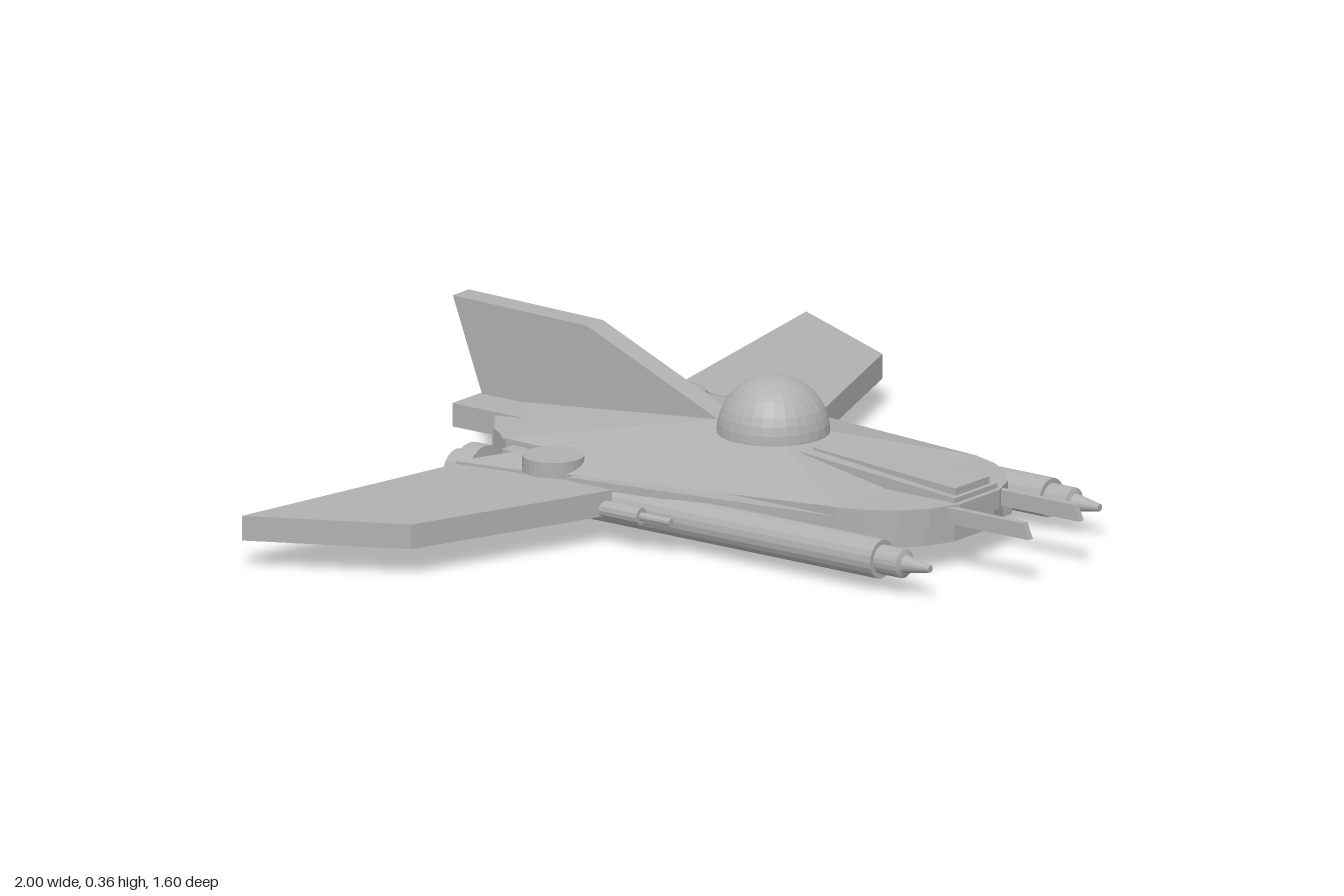
import * as THREE from 'three';

const grey = new THREE.MeshStandardMaterial({ color: 0xb0b0b0, side: THREE.DoubleSide, flatShading: true });
grey.name = 'hull grey';

function add(parent, name, geometry, x = 0, y = 0, z = 0) {
  const mesh = new THREE.Mesh(geometry, grey);
  mesh.name = name;
  mesh.position.set(x, y, z);
  parent.add(mesh);
  return mesh;
}

// Horizontal slab from an outline of [x, z] points, between two heights
function slab(points, y0, y1) {
  const shape = new THREE.Shape(points.map(([x, z]) => new THREE.Vector2(x, -z)));
  return new THREE.ExtrudeGeometry(shape, { depth: y1 - y0, bevelEnabled: false })
    .rotateX(-Math.PI / 2).translate(0, y0, 0);
}

// Upright plate from a side profile of [z, y] points, centred across its width
function plate(points, width) {
  const shape = new THREE.Shape(points.map(([z, y]) => new THREE.Vector2(-z, y)));
  return new THREE.ExtrudeGeometry(shape, { depth: width, bevelEnabled: false })
    .translate(0, 0, -width / 2).rotateY(Math.PI / 2);
}

const mirrored = (half) => [...half, ...half.map(([x, z]) => [-x, z]).reverse()];

// Turned part along z from [radius, z] points
const turned = (points, sides = 20) =>
  new THREE.LatheGeometry(points.map(([r, z]) => new THREE.Vector2(r, z)), sides).rotateX(Math.PI / 2);

// Sloping half of the upper deck, from rim points up to the ridge
function deckHalf() {
  const p = {
    n: [0, 0.147, 0.595], a: [0.07, 0.147, 0.595], b: [0.19, 0.147, 0.52], c: [0.25, 0.147, 0.4],
    d: [0.4, 0.126, -0.51], e: [0.255, 0.145, -0.39], f: [0.25, 0.145, -0.5], g: [0.13, 0.147, -0.61],
    h: [0, 0.155, -0.64], F: [0.07, 0.147, 0.4], F0: [0, 0.147, 0.4],
    A: [0.075, 0.197, 0.12], A0: [0, 0.197, 0.12], B: [0.03, 0.207, -0.09], B0: [0, 0.207, -0.09],
  };
  const faces = ['n a F', 'n F F0', 'a b F', 'b c F', 'F c A', 'F A A0', 'F F0 A0', 'A c d', 'A d B',
    'A B B0', 'A A0 B0', 'B d e', 'B e f', 'B f g', 'B g h', 'B h B0'];
  const positions = [];
  for (const face of faces) {
    const [u, v, w] = face.split(' ').map((k) => new THREE.Vector3(...p[k]));
    const up = v.clone().sub(u).cross(w.clone().sub(u)).y > 0;
    for (const q of up ? [u, v, w] : [u, w, v]) positions.push(q.x, q.y, q.z);
  }
  const geometry = new THREE.BufferGeometry();
  geometry.setAttribute('position', new THREE.Float32BufferAttribute(positions, 3));
  geometry.computeVertexNormals();
  return geometry;
}

function buildSide() {
  const side = new THREE.Group();
  add(side, 'deckSlope', deckHalf());
  add(side, 'shoulder', slab([[0.24, 0.4], [0.25, 0.4], [0.4, -0.51], [0.255, -0.39], [0.24, -0.39]], 0.108, 0.126));
  add(side, 'wing', slab([[0.36, -0.12], [0.39, -0.13], [0.835, -0.3], [1, -0.63], [0.4, -0.51], [0.36, -0.45]], 0.065, 0.12));

  // Engine pod with stepped nose and rear collar
  add(side, 'enginePod', turned([[0, -0.585], [0.048, -0.585], [0.048, -0.55], [0.068, -0.55], [0.068, -0.507],
    [0.043, -0.507], [0.043, 0.56], [0.032, 0.56], [0.032, 0.62], [0.02, 0.625], [0.008, 0.69], [0, 0.69]]), 0.3, 0.07, 0);
  add(side, 'underRail', new THREE.BoxGeometry(0.1, 0.035, 0.8), 0.215, 0.046, 0.08);

  // Small gun at the wing root
  add(side, 'wingGun', turned([[0, -0.14], [0.019, -0.14], [0.019, 0.03 - 0.06], [0.009, -0.03], [0.009, 0.05], [0, 0.05]], 12), 0.375, 0.08, 0);

  add(side, 'shoulderDisc', new THREE.CylinderGeometry(0.067, 0.067, 0.034, 28), 0.325, 0.142, -0.305);
  add(side, 'rearFairing', slab([[0.25, -0.36], [0.3, -0.4], [0.29, -0.47], [0.25, -0.47]], 0.08, 0.135));

  // Long nose cannon
  add(side, 'noseCannon', plate([[0.3, 0.107], [0.8, 0.107], [0.785, 0.142], [0.3, 0.142]], 0.016), 0.09, 0, 0);
  return side;
}

export function createModel() {
  const model = new THREE.Group();
  model.name = 'starfighter';

  const hull = [[0.07, 0.595], [0.14, 0.565], [0.19, 0.52], [0.23, 0.46], [0.25, 0.4], [0.255, -0.39],
    [0.25, -0.49], [0.2, -0.56], [0.13, -0.61]];
  add(model, 'upperHull', slab(mirrored(hull), 0.105, 0.146));
  add(model, 'lowerHull', slab(mirrored(hull.map(([x, z]) => [x, z * 0.975])), 0.06, 0.106));
  add(model, 'tailBlock', new THREE.BoxGeometry(0.25, 0.052, 0.18), 0, 0.129, -0.638);
  add(model, 'tailKeel', new THREE.BoxGeometry(0.2, 0.055, 0.1), 0, 0.092, -0.59);

  const left = buildSide();
  left.name = 'leftSide';
  const right = buildSide();
  right.name = 'rightSide';
  right.scale.x = -1;
  model.add(left, right);

  // Dome and fin
  add(model, 'dome', new THREE.SphereGeometry(0.122, 28, 10, 0, Math.PI * 2, 0, Math.PI / 2), 0, 0.199, 0.04);
  add(model, 'domeBase', new THREE.CylinderGeometry(0.122, 0.122, 0.004, 28), 0, 0.199, 0.04);
  add(model, 'tailFin', plate([[-0.07, 0.2], [-0.44, 0.355], [-0.8, 0.361], [-0.72, 0.15], [-0.6, 0.14]], 0.057));

  // Raised nose panel, tapering toward the dome
  add(model, 'nosePanelBase', plate([[0.585, 0.14], [0.585, 0.158], [0.17, 0.19], [0.17, 0.14]], 0.15));
  const panel = plate([[0.575, 0.14], [0.575, 0.175], [0.18, 0.194], [0.18, 0.14]], 0.12);
  const pos = panel.attributes.position;
  for (let i = 0; i < pos.count; i++) pos.setX(i, pos.getX(i) * (pos.getZ(i) < 0.3 ? 0.72 : 1));
  panel.computeVertexNormals();
  add(model, 'nosePanel', panel);

  return model;
}
